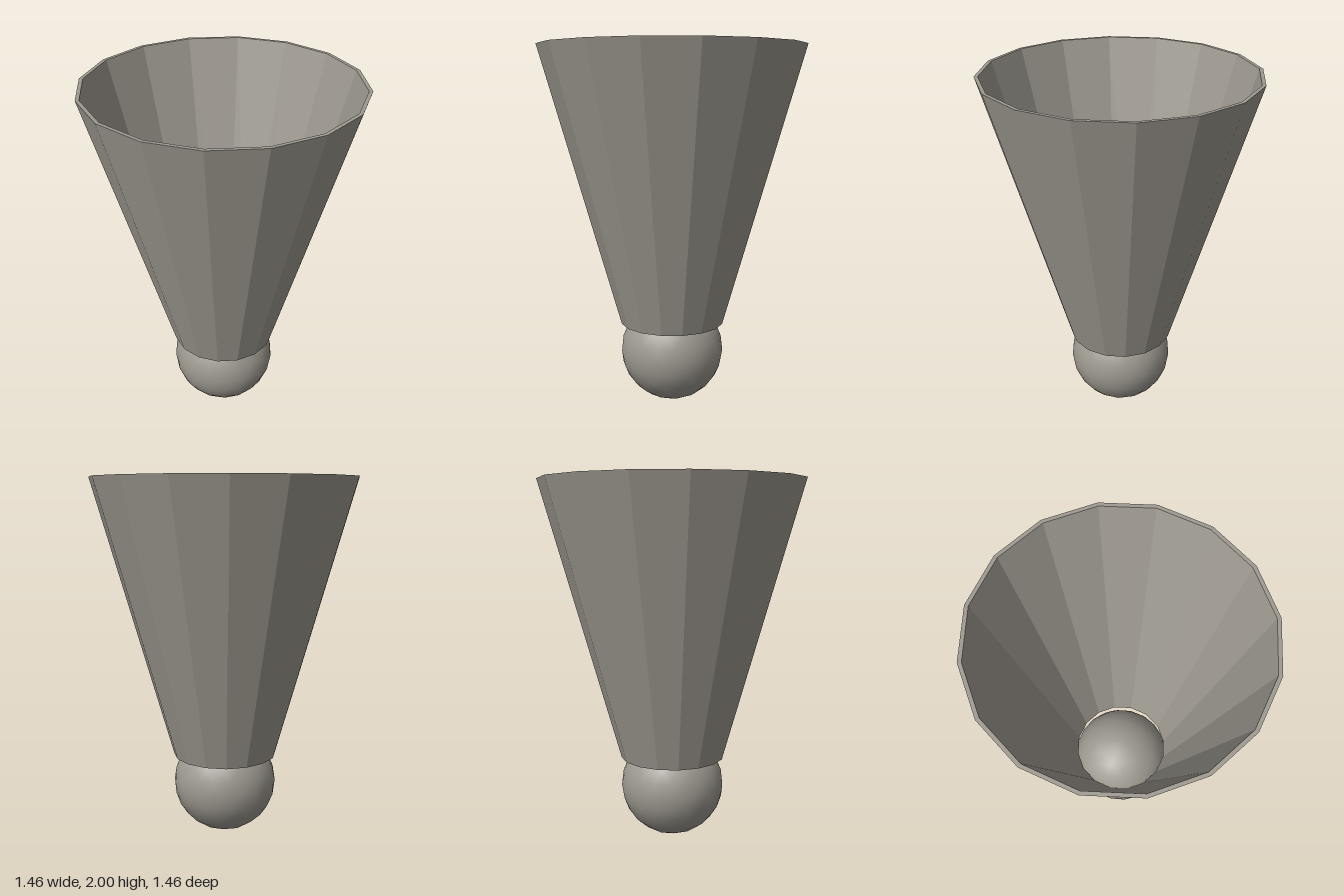
import * as THREE from 'three';

export function createModel() {
  const model = new THREE.Group();
  model.name = 'shuttlecock';
  const grey = new THREE.MeshStandardMaterial({ color: 0x9e9a91 });
  grey.name = 'warm grey';

  // Flared 16-sided skirt: a thin wall, open at both ends, with flat facets
  const profile = [
    [0.29, 0.45], [0.73, 2], [0.71, 2], [0.27, 0.45], [0.29, 0.45],
  ].map(([r, y]) => new THREE.Vector2(r, y));
  const skirtGeometry = new THREE.LatheGeometry(profile, 16).toNonIndexed();
  skirtGeometry.computeVertexNormals();
  const skirt = new THREE.Mesh(skirtGeometry, grey);
  skirt.name = 'skirt';
  model.add(skirt);

  // Smooth ball, turned so that a vertex points straight down
  const ballGeometry = new THREE.IcosahedronGeometry(0.29, 3);
  ballGeometry.rotateZ(-Math.atan(2 / (1 + Math.sqrt(5))));
  const ball = new THREE.Mesh(ballGeometry, grey);
  ball.name = 'ball';
  ball.position.y = 0.29;
  model.add(ball);

  return model;
}
